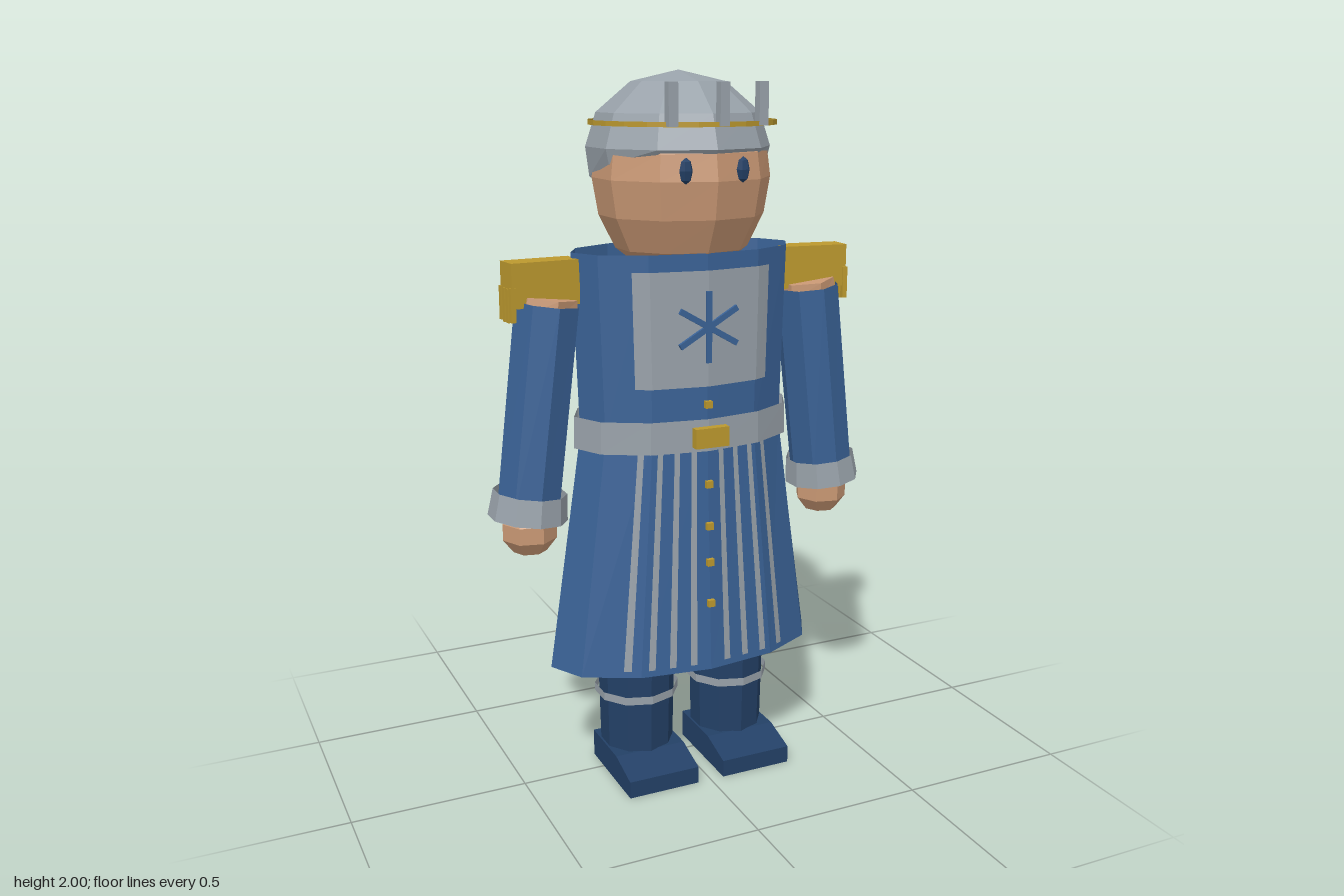
import * as THREE from 'three';

const mat = (name, color) => {
  const m = new THREE.MeshStandardMaterial({ color, flatShading: true, side: THREE.DoubleSide });
  m.name = name;
  return m;
};

// Stacked elliptical rings, bottom to top: [y or y(angle), rx, rz]
function loft(sections, sides, capped = false) {
  const pos = [], index = [];
  for (const [y, rx, rz] of sections)
    for (let j = 0; j < sides; j++) {
      const a = (j / sides) * Math.PI * 2;
      pos.push(Math.sin(a) * rx, typeof y === 'function' ? y(a) : y, Math.cos(a) * rz);
    }
  for (let i = 0; i < sections.length - 1; i++)
    for (let j = 0; j < sides; j++) {
      const k = (j + 1) % sides, lo = i * sides, hi = lo + sides;
      index.push(lo + j, lo + k, hi + k, lo + j, hi + k, hi + j);
    }
  if (capped) {
    const top = (sections.length - 1) * sides;
    for (let j = 1; j < sides - 1; j++) {
      index.push(top, top + j, top + j + 1);
      index.push(0, j + 1, j);
    }
  }
  return finish(pos, index);
}

function finish(pos, index) {
  const g = new THREE.BufferGeometry();
  g.setAttribute('position', new THREE.Float32BufferAttribute(pos, 3));
  g.setIndex(index);
  const flat = g.toNonIndexed();
  flat.computeVertexNormals();
  return flat;
}

// Coat outline: y, half width, half depth
const COAT = [[0.35, 0.41, 0.203], [1.03, 0.308, 0.17], [1.53, 0.325, 0.168]];

// Point on the coat front; u runs from -1 to 1 across its width
function coatFront(u, y, lift) {
  const i = y < COAT[1][0] ? 0 : 1;
  const [y0, x0, z0] = COAT[i], [y1, x1, z1] = COAT[i + 1];
  const t = (y - y0) / (y1 - y0), c = Math.abs(u);
  const s = Math.sqrt(3) / 2;
  const f = c < 0.5 ? 1 + (s - 1) * (c / 0.5) : s + (0.5 - s) * ((c - 0.5) / (s - 0.5));
  return [u * (x0 + (x1 - x0) * t), y, f * (z0 + (z1 - z0) * t) + lift];
}

// Thin plate that follows the coat front
function coatPlate(us, yLow, yHigh, lift) {
  const pos = [], index = [];
  us.forEach((u, i) => {
    pos.push(...coatFront(u, yLow, lift), ...coatFront(u, yHigh, lift));
    if (i) {
      const a = i * 2 - 2;
      index.push(a, a + 2, a + 3, a, a + 3, a + 1);
    }
  });
  return finish(pos, index);
}

export function createModel() {
  const model = new THREE.Group();
  const blue = mat('coatBlue', 0x3a6296);
  const navy = mat('bootNavy', 0x234066);
  const grey = mat('silverGrey', 0x98a1a9);
  const gold = mat('gold', 0xbb982e);
  const skin = mat('skin', 0xc99874);

  const add = (name, geo, material, x = 0, y = 0, z = 0, parent = model) => {
    const m = new THREE.Mesh(geo, material);
    m.name = name;
    m.position.set(x, y, z);
    parent.add(m);
    return m;
  };
  const box = (w, h, d) => new THREE.BoxGeometry(w, h, d);

  // Head, hair and eyes
  add('head', loft([[1.48, 0.12, 0.11], [1.53, 0.185, 0.17], [1.62, 0.23, 0.212], [1.72, 0.247, 0.227],
    [1.79, 0.238, 0.216], [1.88, 0.18, 0.16]], 10, true), skin);
  const hairline = a => (Math.cos(a) > 0.5 ? 1.785 : Math.cos(a) > 0 ? 1.76 : Math.cos(a) > -0.5 ? 1.72 : 1.685);
  add('hair', loft([[hairline, 0.244, 0.234], [1.8, 0.254, 0.245], [1.89, 0.225, 0.215],
    [1.97, 0.13, 0.125], [2, 0, 0]], 10), grey, 0, 0, -0.022);
  for (const s of [-1, 1]) {
    const eye = add('eye', new THREE.SphereGeometry(1, 6, 4), navy, s * 0.082, 1.748, 0.205);
    eye.scale.set(0.019, 0.034, 0.016);
  }

  // Thin circlet with three upright posts
  add('circlet', new THREE.CylinderGeometry(0.255, 0.255, 0.013, 24, 1, true), gold, 0, 1.865, 0.002);
  for (const [x, z] of [[-0.128, 0.217], [0, 0.25], [0.128, 0.217]])
    add('circletPost', box(0.026, 0.11, 0.026), grey, x, 1.915, z);

  // Torso and coat
  add('torso', loft([[0.6, 0.22, 0.12], [1.0, 0.24, 0.13], [1.4, 0.295, 0.14], [1.49, 0.27, 0.13]], 8, true), skin);
  add('coat', loft(COAT, 12), blue);
  add('belt', loft([[0.99, 0.327, 0.182], [1.08, 0.325, 0.18]], 12), grey);
  add('buckle', box(0.1, 0.055, 0.025), gold, 0, 1.033, 0.192);
  for (const y of [1.12, 0.895, 0.775, 0.67, 0.55])
    add('button', box(0.02, 0.02, 0.016), gold, 0, y, coatFront(0, y, 0.004)[2]);

  // Chest panel with a six-armed star
  add('chestPanel', coatPlate([-0.63, -0.5, 0, 0.5, 0.63], 1.17, 1.485, 0.006), grey);
  for (const a of [0, 1, -1]) {
    const ray = add('starRay', box(0.016, 0.195, 0.009), blue, 0, 1.333, 0.175);
    ray.rotation.z = a * Math.PI / 3;
  }

  // Skirt stripes
  for (const s of [-1, 1])
    for (const u of [0.13, 0.28, 0.43, 0.59])
      add('skirtStripe', coatPlate([s * u - 0.024, s * u + 0.024], 0.37, 0.99, 0.005), grey);

  for (const s of [-1, 1]) {
    // Arm group, leaning outward toward the hand
    const arm = new THREE.Group();
    arm.name = s > 0 ? 'leftArm' : 'rightArm';
    arm.position.set(s * 0.395, 1.4, 0);
    arm.rotation.z = s * 0.12;
    model.add(arm);
    add('sleeve', loft([[-0.56, 0.09, 0.1], [0, 0.09, 0.106]], 8), blue, 0, 0, 0, arm);
    add('armSkin', loft([[-0.58, 0.055, 0.055], [-0.03, 0.085, 0.09], [0.015, 0.08, 0.09]], 6, true), skin, 0, 0, 0, arm);
    add('cuff', loft([[-0.595, 0.11, 0.112], [-0.52, 0.102, 0.104]], 10), grey, 0, 0, 0, arm);
    const hand = add('hand', new THREE.SphereGeometry(0.08, 7, 5), skin, s * 0.463, 0.775, 0);
    hand.scale.y = 0.95;

    // Shoulder board with fringe at its outer end
    const board = new THREE.Group();
    board.name = 'shoulderBoard';
    board.position.set(s * 0.41, 1.455, -0.004);
    board.rotation.y = -s * 0.09;
    model.add(board);
    add('boardPlate', box(0.195, 0.12, 0.075), gold, 0, 0, 0, board);
    for (let i = 0; i < 4; i++)
      add('fringe', box(0.014, 0.09, 0.014), gold, s * 0.095, -0.05 - (i % 3 ? 0.003 : 0), -0.034 + i * 0.0225, board);

    // Leg, boot and foot
    const leg = new THREE.Group();
    leg.name = s > 0 ? 'leftLeg' : 'rightLeg';
    leg.position.x = s * 0.147;
    model.add(leg);
    add('legSkin', loft([[0.03, 0.06, 0.06], [0.35, 0.08, 0.085], [0.75, 0.1, 0.1]], 6, true), skin, 0, 0, -0.025, leg);
    add('bootShaft', loft([[0.06, 0.106, 0.108], [0.37, 0.112, 0.116]], 10), navy, 0, 0, 0, leg);
    add('bootBand', loft([[0.233, 0.123, 0.121], [0.257, 0.123, 0.121]], 10), grey, 0, 0, 0, leg);
    const side = new THREE.Shape([[0.205, 0], [0.205, 0.05], [0.1, 0.08], [-0.08, 0.08], [-0.08, 0]]
      .map(p => new THREE.Vector2(...p)));
    const foot = new THREE.ExtrudeGeometry(side, { depth: 0.214, bevelEnabled: false });
    foot.translate(0, 0, -0.107).rotateY(-Math.PI / 2);
    add('foot', foot, navy, 0, 0, 0, leg);
  }
  return model;
}
